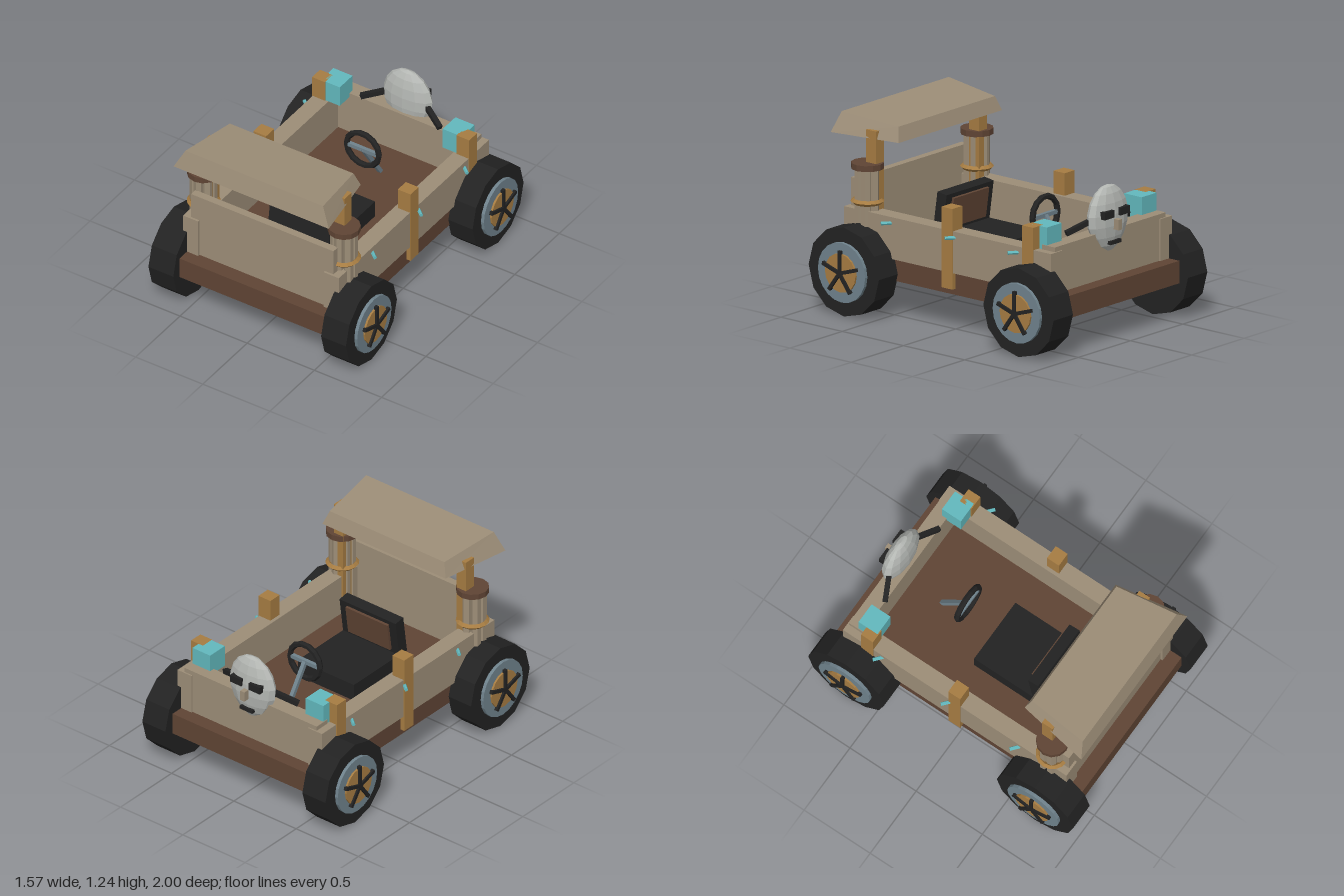
import * as THREE from 'three';

const mat = (name, color) => {
  const m = new THREE.MeshStandardMaterial({ color, flatShading: true });
  m.name = name;
  return m;
};

export function createModel() {
  const tan = mat('tan stone', 0x9c8d77), brown = mat('dark wood', 0x5f4434), wood = mat('light wood', 0xa67c42);
  const black = mat('black rubber', 0x222222), steel = mat('blue steel', 0x6f828c);
  const cyan = mat('turquoise', 0x62b8bd), grey = mat('pale grey', 0xb4b7b3);

  const car = new THREE.Group();
  car.name = 'car';
  const add = (name, geo, m, x = 0, y = 0, z = 0, parent = car) => {
    const mesh = new THREE.Mesh(geo, m);
    mesh.name = name;
    mesh.position.set(x, y, z);
    parent.add(mesh);
    return mesh;
  };
  // box given by its limits on each axis
  const block = (name, m, x0, x1, y0, y1, z0, z1, parent = car) =>
    add(name, new THREE.BoxGeometry(Math.abs(x1 - x0), y1 - y0, z1 - z0), m,
      (x0 + x1) / 2, (y0 + y1) / 2, (z0 + z1) / 2, parent);
  // square bar between two points
  const bar = (name, m, a, b, w) => {
    const p = new THREE.Vector3(...a), q = new THREE.Vector3(...b);
    const mesh = add(name, new THREE.BoxGeometry(w, w, p.distanceTo(q)), m);
    mesh.position.copy(p).add(q).multiplyScalar(0.5);
    mesh.lookAt(q);
    return mesh;
  };

  // body
  block('chassis', brown, -0.555, 0.555, 0.24, 0.385, -0.93, 0.93);
  block('frontPanel', tan, -0.53, 0.53, 0.385, 0.835, 0.78, 0.83);
  block('rearPanel', tan, -0.53, 0.53, 0.385, 0.685, -0.835, -0.73);

  // wheel with rim, hub and five spokes, outer side towards +x
  const makeWheel = () => {
    const wheel = new THREE.Group();
    wheel.name = 'wheel';
    const disc = (name, m, r, x0, x1, sides) => {
      const g = new THREE.CylinderGeometry(r, r, x1 - x0, sides).rotateZ(Math.PI / 2);
      add(name, g, m, (x0 + x1) / 2, 0, 0, wheel);
    };
    disc('tire', black, 0.287, 0.55, 0.735, 12);
    disc('rim', steel, 0.193, 0.7, 0.757, 20);
    disc('hub', wood, 0.125, 0.74, 0.77, 16);
    for (let i = 0; i < 5; i++) {
      const g = new THREE.BoxGeometry(0.022, 0.145, 0.023).translate(0, 0.0725, 0);
      add('spoke', g, black, 0.773, 0, 0, wheel).rotation.x = i * Math.PI * 2 / 5;
    }
    return wheel;
  };

  for (const s of [1, -1]) {
    block('sideWall', tan, s * 0.467, s * 0.58, 0.385, 0.655, -0.845, 0.845);
    block('middleStrut', wood, s * 0.49, s * 0.585, 0.28, 0.8, -0.045, 0.045);
    block('rearStrut', wood, s * 0.49, s * 0.585, 0.28, 0.8, -0.705, -0.615);
    block('rearBox', cyan, s * 0.383, s * 0.525, 0.655, 0.8, -0.765, -0.622);

    for (const z of [0.713, -0.713]) {
      const wheel = makeWheel();
      wheel.position.set(0, 0.287, z);
      if (s < 0) wheel.rotation.y = Math.PI;
      car.add(wheel);
    }
    for (const z of [0.475, -0.045, -0.56]) {
      const peg = add('sidePeg', new THREE.CylinderGeometry(0.012, 0.012, 0.09, 6).rotateZ(Math.PI / 2),
        cyan, s * 0.59, 0.615, z);
      peg.rotation.y = -0.7;
    }

    // pillar made of a ring of poles, with band, cap and canopy post
    const px = s * 0.523, pz = 0.7;
    for (let i = 0; i < 6; i++) {
      const a = (i + 0.5) * Math.PI / 3;
      add('pillarPole', new THREE.CylinderGeometry(0.033, 0.033, 0.54, 6), tan,
        px + Math.cos(a) * 0.054, 0.655, pz + Math.sin(a) * 0.054);
    }
    add('pillarBand', new THREE.TorusGeometry(0.088, 0.018, 4, 16).rotateX(Math.PI / 2), wood, px, 0.707, pz);
    add('pillarCap', new THREE.CylinderGeometry(0.104, 0.104, 0.038, 12), brown, px, 0.936, pz);
    block('canopyPost', wood, s * 0.455, s * 0.53, 0.39, 1.165, 0.625, 0.705);
  }

  // canopy: tapered slab with a sloping top
  const canopy = new THREE.BoxGeometry(2, 2, 2);
  const p = canopy.attributes.position;
  for (let i = 0; i < p.count; i++) {
    const top = p.getY(i) > 0, front = p.getZ(i) > 0;
    const x = top ? (front ? 0.512 : 0.46) : (front ? 0.577 : 0.495);
    const y = top ? (front ? 1.24 : 1.205) : 1.112;
    const z = top ? (front ? 0.92 : 0.5) : (front ? 0.955 : 0.47);
    p.setXYZ(i, p.getX(i) * x, y, z);
  }
  canopy.computeVertexNormals();
  add('canopy', canopy, tan);

  // seat
  block('seatCushion', black, -0.225, 0.225, 0.385, 0.5, -0.1, 0.37);
  const back = new THREE.Group();
  back.name = 'seatBack';
  back.position.set(0, 0.62, 0.365);
  back.rotation.x = -0.14;
  car.add(back);
  block('backrest', black, -0.225, 0.225, -0.13, 0.133, -0.038, 0.038, back);
  block('backPanel', brown, -0.168, 0.168, -0.09, 0.105, -0.055, -0.036, back);

  // steering
  add('steeringWheel', new THREE.TorusGeometry(0.12, 0.02, 6, 14), black, 0, 0.685, -0.302);
  block('steeringBar', steel, -0.11, 0.11, 0.672, 0.698, -0.315, -0.29);
  bar('steeringColumn', steel, [0, 0.69, -0.3], [0, 0.385, -0.5], 0.026);

  // mask on the rear: flattened egg with a narrower chin
  const face = new THREE.SphereGeometry(1, 12, 9);
  const f = face.attributes.position;
  for (let i = 0; i < f.count; i++) {
    const y = f.getY(i), k = y < 0 ? 1 + 0.18 * y : 1;
    f.setXYZ(i, f.getX(i) * 0.183 * k, y * 0.218, f.getZ(i) * 0.07);
  }
  face.computeVertexNormals();
  add('mask', face, grey, 0, 0.76, -0.812);
  block('nose', tan, -0.017, 0.017, 0.7, 0.768, -0.918, -0.87);
  block('mouth', black, -0.05, 0.05, 0.605, 0.628, -0.882, -0.84);
  for (const s of [1, -1]) {
    block('eye', black, s * 0.03, s * 0.12, 0.782, 0.83, -0.893, -0.85);
    bar('maskArm', black, [s * 0.15, 0.765, -0.795], [s * 0.295, 0.705, -0.725], 0.032);
  }
  return car;
}
